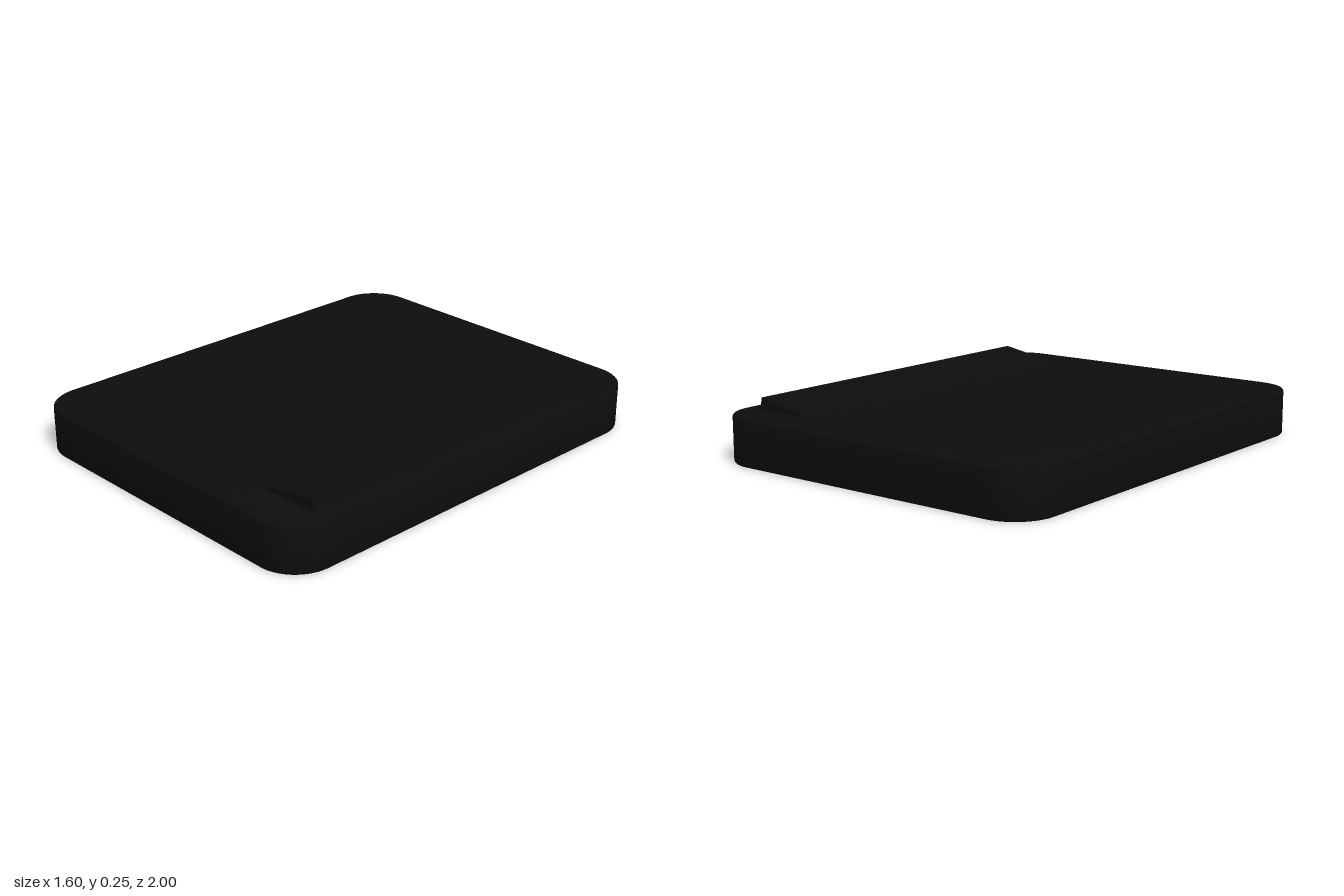
import * as THREE from 'three';
import { toCreasedNormals } from 'three/addons/utils/BufferGeometryUtils.js';

const BEVEL = 0.01;

// Rounded rectangle centred on the origin
function roundedRect(w, d, r) {
  const x = w / 2, y = d / 2, s = new THREE.Shape();
  s.absarc(x - r, y - r, r, 0, Math.PI / 2);
  s.absarc(-x + r, y - r, r, Math.PI / 2, Math.PI);
  s.absarc(-x + r, -y + r, r, Math.PI, Math.PI * 1.5);
  s.absarc(x - r, -y + r, r, Math.PI * 1.5, Math.PI * 2);
  s.closePath();
  return s;
}

export function createModel() {
  const model = new THREE.Group();
  model.name = 'pedalSlab';
  const black = new THREE.MeshStandardMaterial({ color: 0x0d0d0d });
  black.name = 'black';

  // Flat slab with rounded corners and a fine edge bevel
  const slab = new THREE.ExtrudeGeometry(roundedRect(1.6, 2, 0.18), {
    depth: 0.2 - 2 * BEVEL, curveSegments: 12,
    bevelEnabled: true, bevelSize: BEVEL, bevelThickness: BEVEL, bevelOffset: -BEVEL, bevelSegments: 3,
  });
  slab.rotateX(-Math.PI / 2).translate(0, BEVEL, 0);
  const body = new THREE.Mesh(toCreasedNormals(slab, 0.6), black);
  body.name = 'body';
  model.add(body);

  // Long plate tilted up along the left side, pivoting on its raised top edge
  const plate = new THREE.BoxGeometry(0.32, 0.1, 1.64);
  plate.translate(-0.16, -0.05, 0);
  const flap = new THREE.Mesh(plate, black);
  flap.name = 'tiltedPlate';
  flap.position.set(0.709, 0.252, 0);
  flap.rotation.z = THREE.MathUtils.degToRad(10);
  model.add(flap);

  return model;
}
